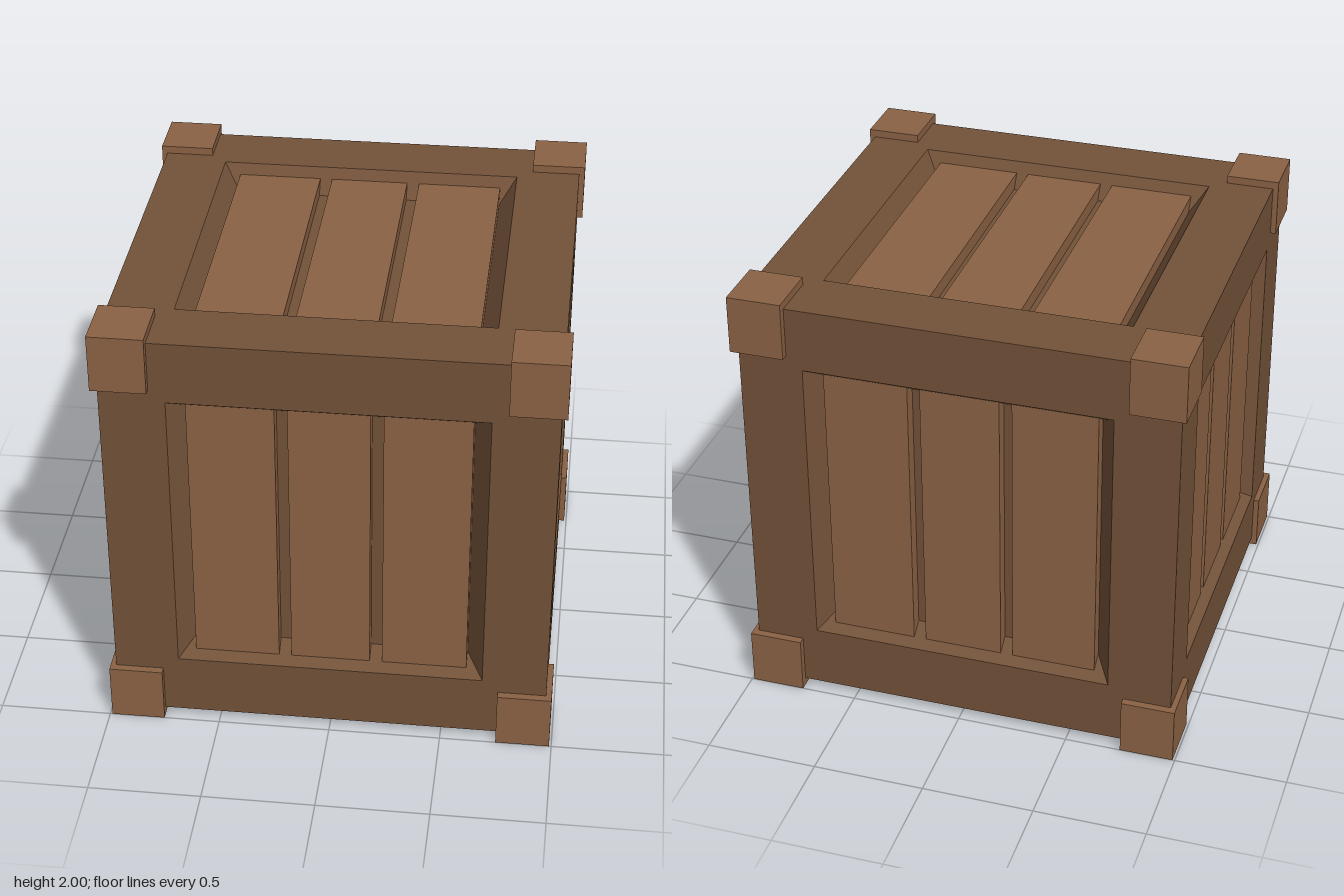
import * as THREE from 'three';

const FRAME = 0.965;   // half size of the frame cube
const OPENING = 0.68;  // half size of each opening at the surface
const FLOOR = 0.605;   // half size of the recessed panel
const DEPTH = 0.11;    // recess depth
const PLANK_FACE = FRAME - 0.045;

export function createModel() {
  const crate = new THREE.Group();
  crate.name = 'crate';
  const frameMat = new THREE.MeshStandardMaterial({ color: 0x735239, flatShading: true });
  const plankMat = new THREE.MeshStandardMaterial({ color: 0x8b6244, flatShading: true });

  // Square face with a bevelled recess: a four-sided lathe turned to face +z
  const profile = [[FRAME, FRAME], [OPENING, FRAME], [FLOOR, FRAME - DEPTH], [0, FRAME - DEPTH]]
    .map(([r, h]) => new THREE.Vector2(r * Math.SQRT2, h));
  const frameGeo = new THREE.LatheGeometry(profile, 4, Math.PI / 4)
    .rotateX(Math.PI / 2).toNonIndexed();
  frameGeo.computeVertexNormals();

  // Three planks standing on the recessed panel
  const planks = [[-0.605, -0.23], [-0.175, 0.175], [0.23, 0.605]];
  const thickness = PLANK_FACE - (FRAME - DEPTH) + 0.01;

  function side(name, rx, ry, spin = 0) {
    const group = new THREE.Group();
    group.name = name;
    const frame = new THREE.Mesh(frameGeo, frameMat);
    frame.name = 'framePanel';
    group.add(frame);
    for (const [x0, x1] of planks) {
      const geo = new THREE.BoxGeometry(x1 - x0, 1.3, thickness);
      geo.translate((x0 + x1) / 2, 0, PLANK_FACE - thickness / 2);
      const plank = new THREE.Mesh(geo, plankMat);
      plank.name = 'plank';
      plank.rotation.z = spin;
      group.add(plank);
    }
    group.rotation.set(rx, ry, 0);
    group.position.y = 1;
    crate.add(group);
  }
  side('frontSide', 0, 0);
  side('backSide', 0, Math.PI);
  side('leftSide', 0, Math.PI / 2);
  side('rightSide', 0, -Math.PI / 2);
  side('topSide', -Math.PI / 2, 0);
  side('bottomSide', Math.PI / 2, 0, Math.PI / 2);

  // Corner blocks, slightly proud of the frame
  const cornerGeo = new THREE.BoxGeometry(0.24, 0.26, 0.26);
  for (const x of [-1, 1]) for (const y of [-1, 1]) for (const z of [-1, 1]) {
    const block = new THREE.Mesh(cornerGeo, plankMat);
    block.name = 'cornerBlock';
    block.position.set(x * 0.87, 1 + y * 0.87, z * 0.87);
    crate.add(block);
  }
  return crate;
}
